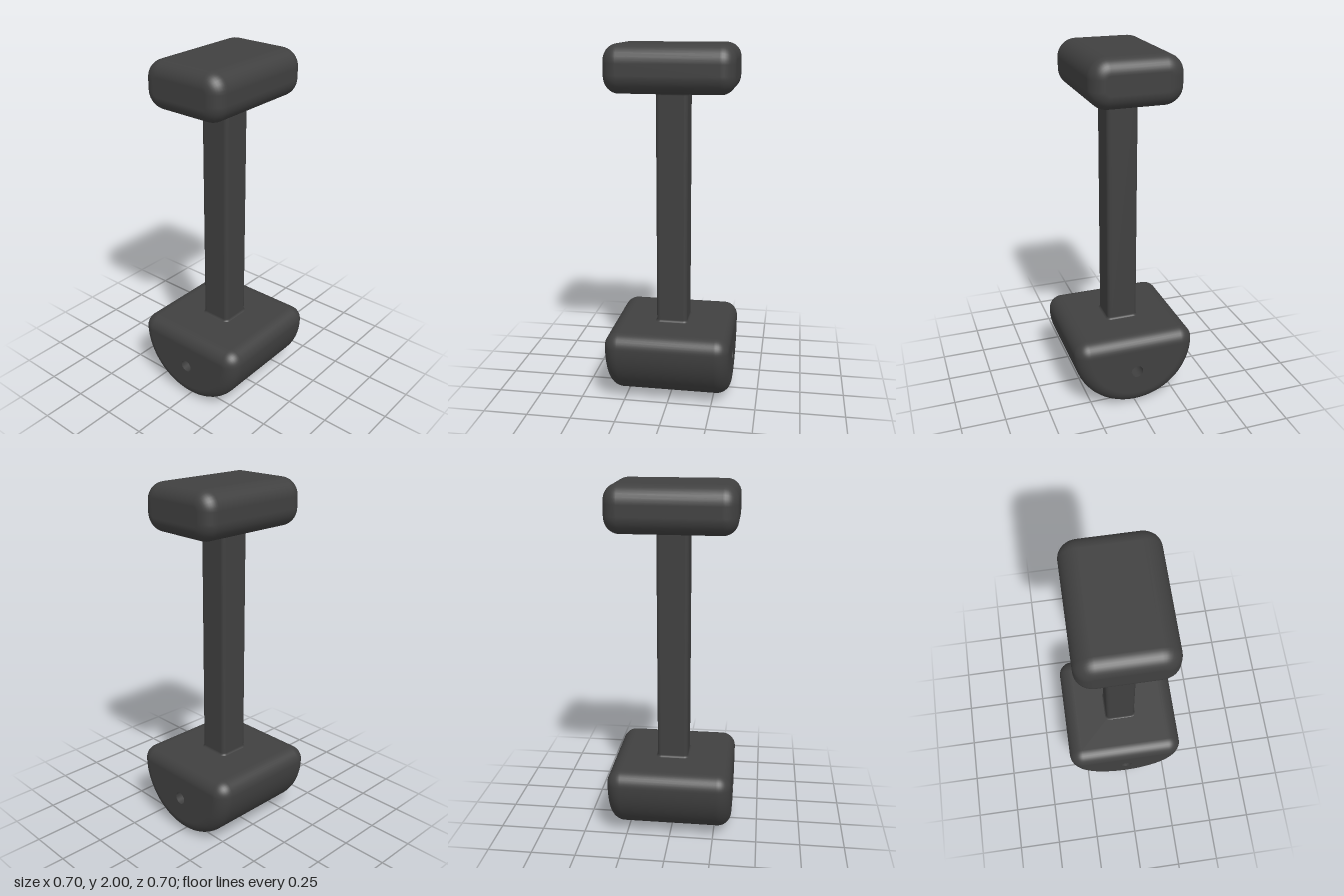
import * as THREE from 'three';

const PI = Math.PI;
const material = new THREE.MeshStandardMaterial({ color: 0x404040 });
const holeMaterial = new THREE.MeshStandardMaterial({ color: 0x404040, side: THREE.BackSide });

// Outline made of arcs [cx, cy, radius, from, to, steps]: points with their outward normals
function arcOutline(arcs) {
  const out = [];
  for (const [cx, cy, r, from, to, steps] of arcs) {
    for (let i = 0; i <= steps; i++) {
      const a = from + ((to - from) * i) / steps;
      const nx = Math.cos(a), ny = Math.sin(a);
      out.push({ x: cx + r * nx, y: cy + r * ny, nx, ny });
    }
  }
  return out;
}

function roundRect(hx, hy, r) {
  const x = hx - r, y = hy - r;
  return arcOutline([[x, y], [-x, y], [-x, -y], [x, -y]].map(([cx, cy], i) =>
    [cx, cy, r, (i * PI) / 2, ((i + 1) * PI) / 2, 8]));
}

// Sweeps an outline along z, growing it outward by profile rows [offset, z, normalOut, normalZ]
function loft(outline, profile) {
  const pos = [], nor = [], idx = [], n = outline.length;
  profile.forEach(([d, z, no, nz], i) => {
    outline.forEach((p, j) => {
      pos.push(p.x + p.nx * d, p.y + p.ny * d, z);
      nor.push(p.nx * no, p.ny * no, nz);
      if (i === 0) return;
      const a = (i - 1) * n + j, b = (i - 1) * n + ((j + 1) % n);
      idx.push(a, b, b + n, a, b + n, a + n);
    });
  });
  const g = new THREE.BufferGeometry();
  g.setAttribute('position', new THREE.Float32BufferAttribute(pos, 3));
  g.setAttribute('normal', new THREE.Float32BufferAttribute(nor, 3));
  g.setIndex(idx);
  return g;
}

function addMesh(parent, name, geometry, mat = material) {
  const mesh = new THREE.Mesh(geometry, mat);
  mesh.name = name;
  parent.add(mesh);
  return mesh;
}

// Block running along x with fully rounded ends; hole = { y, r } drills it end to end
function roundedBlock(name, outline, halfLength, round, hole) {
  const group = new THREE.Group();
  group.name = name;
  const profile = [];
  for (const side of [-1, 1]) {
    for (let i = 0; i <= 10; i++) {
      const a = ((side < 0 ? i : 10 - i) / 10) * PI / 2;
      profile.push([round * Math.sin(a), side * (halfLength - round + round * Math.cos(a)),
        Math.sin(a), side * Math.cos(a)]);
    }
  }
  addMesh(group, name + 'Body', loft(outline, profile));

  const shape = new THREE.Shape(outline.map((p) => new THREE.Vector2(p.x, p.y)));
  if (hole) {
    shape.holes.push(new THREE.Path().absarc(0, hole.y, hole.r, 0, 2 * PI, true));
    const tube = new THREE.CylinderGeometry(hole.r, hole.r, 2 * halfLength, 24, 1, true);
    tube.rotateX(PI / 2).translate(0, hole.y, 0);
    addMesh(group, name + 'Hole', tube, holeMaterial);
  }
  for (const side of [-1, 1]) {
    const cap = new THREE.ShapeGeometry(shape, 12);
    if (side < 0) cap.rotateY(PI);
    addMesh(group, name + 'End', cap.translate(0, 0, side * halfLength));
  }
  group.rotation.y = PI / 2;
  return group;
}

export function createModel() {
  const model = new THREE.Group();
  model.name = 'handle';

  // Half-round base with a cross hole
  const core = 0.27, round = 0.08;
  const halfDisc = arcOutline([
    [0, 0, core, PI, 2 * PI, 48],
    [core, 0, 0, 0, PI / 2, 10],
    [-core, 0, 0, PI / 2, PI, 10],
  ]);
  const base = roundedBlock('base', halfDisc, 0.35, round, { y: -0.13, r: 0.035 });
  base.position.y = 0.35;
  model.add(base);

  // Square post with small fillets where it meets the blocks
  const y0 = 0.428, y1 = 1.742, f = 0.016, profile = [];
  for (const end of [-1, 1]) {
    for (let i = 0; i <= 6; i++) {
      const a = ((end < 0 ? i : 6 - i) / 6) * PI / 2;
      const rise = f * Math.sin(a);
      profile.push([f * (1 - Math.sin(a)), end < 0 ? y0 + f * (1 - Math.cos(a)) : y1 - f * (1 - Math.cos(a)),
        rise / f, -end * Math.cos(a)]);
    }
  }
  // Fillet rows run from flat against the block to parallel with the post
  for (const row of profile) {
    const c = Math.min(1, Math.abs(row[3])), s = row[2];
    row[0] = f * (1 - s);
    row[1] = row[3] > 0 || profile.indexOf(row) < 7 ? y0 + f * (1 - c) : y1 - f * (1 - c);
  }
  addMesh(model, 'post', loft(roundRect(0.088, 0.088, 0.022), profile)).rotation.x = -PI / 2;

  // Rounded grip block on top
  const head = roundedBlock('head', roundRect(0.17, 0.05, 0.02), 0.35, round);
  head.position.y = 1.87;
  model.add(head);

  return model;
}
